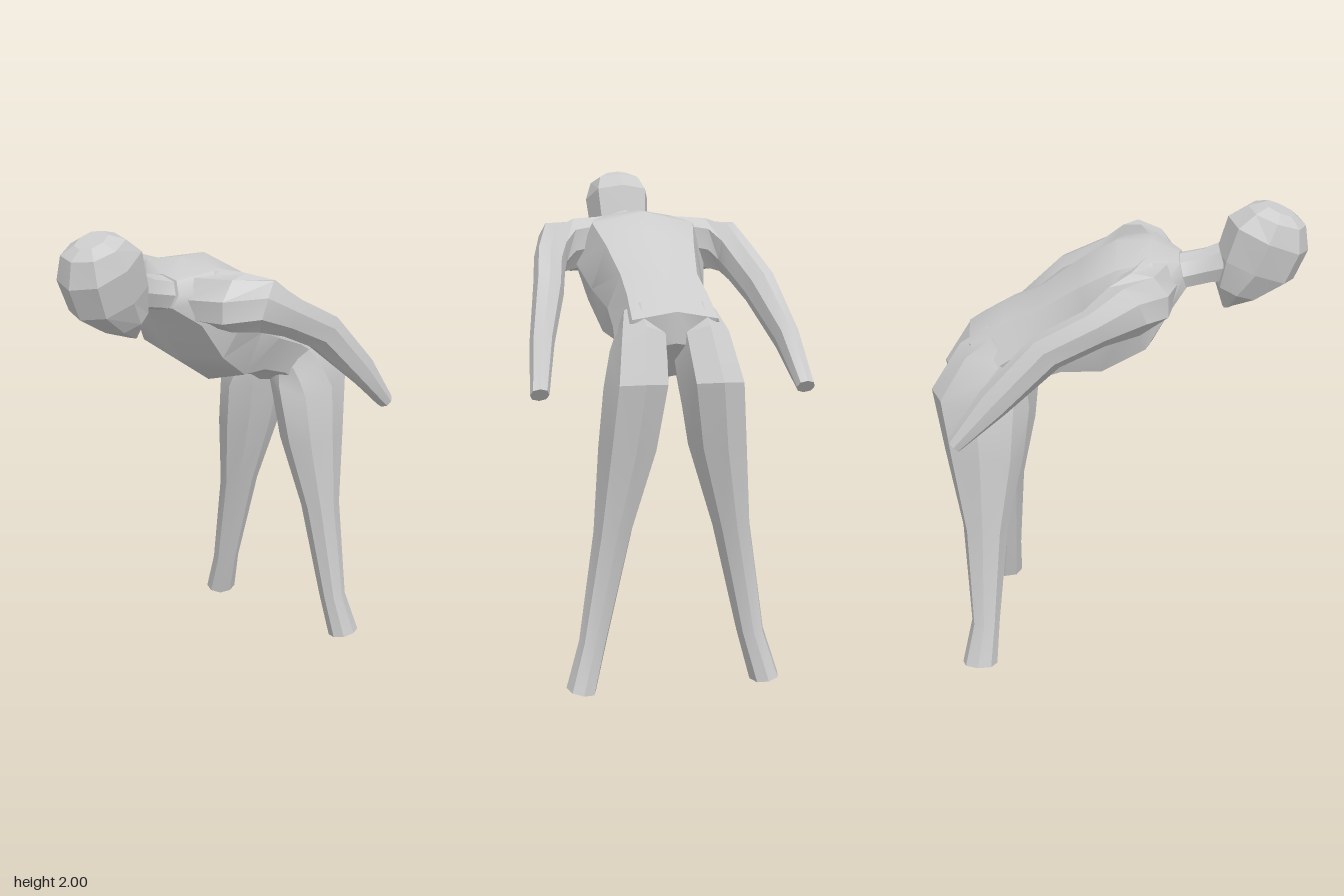
import * as THREE from 'three';
import { toCreasedNormals } from 'three/addons/utils/BufferGeometryUtils.js';

// Skin a tube through rings [centre, u, v]; power < 1 squares the section off.
function loft(rings, { side = 1, sides = 8, power = 1, crease = 0.4 } = {}) {
  const pos = [], index = [];
  const shape = (t) => Math.sign(t) * Math.pow(Math.abs(t), power);
  for (const [c, u, v] of rings) {
    for (let j = 0; j < sides; j++) {
      const a = (j / sides) * Math.PI * 2;
      const cu = shape(Math.cos(a)), sv = shape(Math.sin(a));
      const p = c.map((n, k) => n + u[k] * cu + v[k] * sv);
      pos.push(p[0] * side, p[1], p[2]);
    }
  }
  const tri = (a, b, c) => (side > 0 ? index.push(a, b, c) : index.push(a, c, b));
  for (let i = 0; i < rings.length - 1; i++) {
    for (let j = 0; j < sides; j++) {
      const k = (j + 1) % sides, a = i * sides, b = a + sides;
      tri(a + j, b + j, b + k);
      tri(a + j, b + k, a + k);
    }
  }
  // end caps
  const last = (rings.length - 1) * sides;
  for (let j = 1; j < sides - 1; j++) {
    tri(0, j, j + 1);
    tri(last, last + j + 1, last + j);
  }
  const g = new THREE.BufferGeometry();
  g.setAttribute('position', new THREE.Float32BufferAttribute(pos, 3));
  g.setIndex(index);
  return toCreasedNormals(g, crease);
}

// Ring from its front and back points (z, y) and its span in x.
function section([fz, fy], [bz, by], x0, x1, tilt = 0) {
  return [
    [(x0 + x1) / 2, (fy + by) / 2, (fz + bz) / 2],
    [(x1 - x0) / 2, tilt, 0],
    [0, (by - fy) / 2, (bz - fz) / 2],
  ];
}
const centred = (f, b, w) => section(f, b, -w, w);

export function createModel() {
  const group = new THREE.Group();
  const material = new THREE.MeshStandardMaterial({ color: 0xcccccc });
  const add = (name, geometry) => {
    const mesh = new THREE.Mesh(geometry, material);
    mesh.name = name;
    group.add(mesh);
  };

  // Head, crown to chin
  add('head', loft([
    centred([0.69, 1.95], [0.57, 2.0], 0.06),
    centred([0.735, 1.91], [0.51, 1.985], 0.115),
    centred([0.75, 1.81], [0.435, 1.94], 0.142),
    centred([0.70, 1.69], [0.395, 1.80], 0.13),
    centred([0.57, 1.615], [0.39, 1.68], 0.1),
    centred([0.47, 1.58], [0.425, 1.57], 0.04),
  ], { power: 0.85, crease: 0.1 }));

  // Neck
  add('neck', loft([
    centred([0.46, 1.68], [0.40, 1.83], 0.08),
    centred([0.38, 1.67], [0.35, 1.805], 0.075),
    centred([0.29, 1.65], [0.25, 1.78], 0.085),
    centred([0.18, 1.60], [0.12, 1.80], 0.14),
  ], { power: 0.8 }));

  // Torso, neck base to pelvis, bent forward at the hips
  add('torso', loft([
    centred([0.285, 1.65], [0.25, 1.785], 0.1),
    centred([0.23, 1.57], [0.14, 1.835], 0.23),
    centred([0.15, 1.41], [0.0, 1.83], 0.275),
    centred([-0.03, 1.29], [-0.14, 1.75], 0.235),
    centred([-0.2, 1.28], [-0.3, 1.63], 0.2),
    centred([-0.34, 1.235], [-0.45, 1.56], 0.205),
    centred([-0.38, 1.205], [-0.6, 1.47], 0.215),
    centred([-0.42, 1.2], [-0.59, 1.35], 0.12),
  ], { power: 0.75, crease: 0.6 }));

  for (const [name, side] of [['left', 1], ['right', -1]]) {
    // Arm, from inside the shoulder to the blunt wrist
    add(name + 'Arm', loft([
      [[0.12, 1.7, 0.15], [0, 0, 0.1], [0, 0.11, -0.02]],
      [[0.28, 1.69, 0.12], [0, 0.02, 0.1], [0, 0.11, -0.04]],
      [[0.37, 1.68, 0.06], [0.05, 0.05, 0.06], [-0.01, 0.09, -0.06]],
      [[0.4, 1.62, -0.05], [0.06, 0.03, 0.02], [0, 0.07, -0.04]],
      [[0.43, 1.53, -0.23], [0.06, 0.02, 0], [0, 0.06, -0.05]],
      [[0.485, 1.34, -0.43], [0.048, 0, 0], [0, 0.05, -0.045]],
      [[0.515, 1.17, -0.58], [0.036, 0, 0], [0, 0.025, -0.022]],
    ], { side, power: 0.9 }));

    // Leg, from inside the pelvis over the buttock to the blunt ankle
    add(name + 'Leg', loft([
      section([-0.36, 1.26], [-0.5, 1.5], 0.04, 0.2),
      section([-0.355, 1.21], [-0.62, 1.42], 0.01, 0.235),
      section([-0.345, 1.15], [-0.745, 1.22], 0.02, 0.27),
      section([-0.37, 0.95], [-0.7, 0.96], 0.06, 0.29),
      section([-0.44, 0.63], [-0.63, 0.63], 0.16, 0.31),
      section([-0.48, 0.2], [-0.6, 0.2], 0.26, 0.37),
      section([-0.49, 0.01], [-0.64, 0.01], 0.31, 0.425, 0.01),
    ], { side, power: 0.9 }));
  }
  return group;
}
